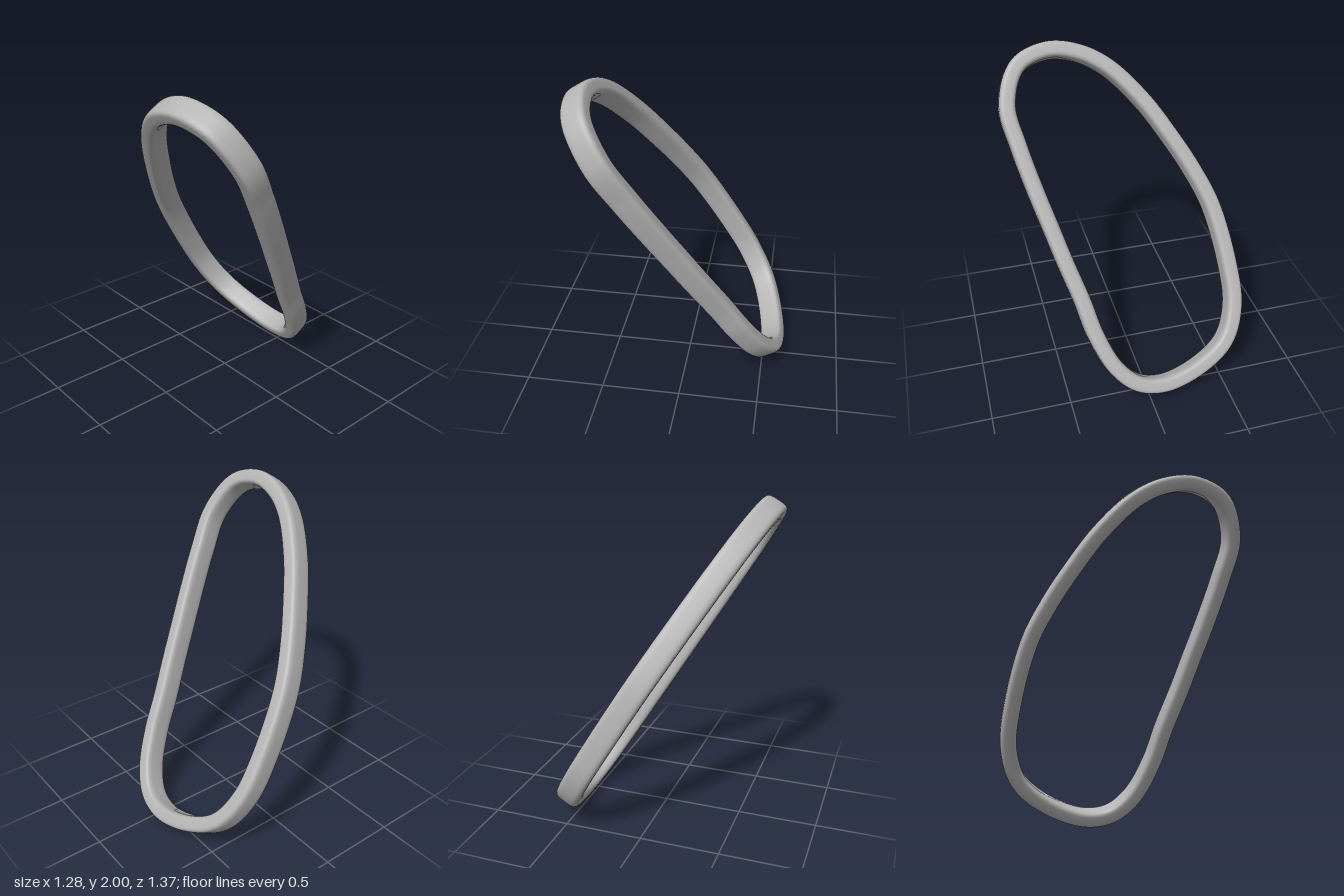
import * as THREE from 'three';

const SEGMENTS = 240, SIDES = 40;
const HALF_WIDTH = 0.051, HALF_DEPTH = 0.077; // in the ring's plane, and across it
const TILT = 0.6; // sideways lean of the ring's plane per unit of height

// Centre line of the ring as [z, y]
const PATH = [
  [0.35, 1.93], [0.54, 1.865], [0.635, 1.67], [0.6, 1.45], [0.535, 1.2],
  [0.475, 1.0], [0.425, 0.83], [0.35, 0.6], [0.295, 0.4], [0.2, 0.21],
  [0.07, 0.1], [-0.105, 0.07], [-0.36, 0.135], [-0.54, 0.25], [-0.625, 0.43],
  [-0.628, 0.65], [-0.565, 1.0], [-0.465, 1.22], [-0.35, 1.41],
  [-0.205, 1.615], [-0.01, 1.81], [0.16, 1.9],
];

// Signed power for the rounded-square cross-section
const soft = (v) => Math.sign(v) * Math.sqrt(Math.abs(v));

function ringGeometry() {
  const curve = new THREE.CatmullRomCurve3(
    PATH.map(([z, y]) => new THREE.Vector3(-TILT * (y - 1), y, z)), true, 'centripetal');
  const normal = new THREE.Vector3(1, TILT, 0).normalize();
  const positions = [], indices = [];
  for (let i = 0; i < SEGMENTS; i++) {
    const centre = curve.getPointAt(i / SEGMENTS);
    const tangent = curve.getTangentAt(i / SEGMENTS);
    const side = new THREE.Vector3().crossVectors(normal, tangent).normalize();
    for (let j = 0; j < SIDES; j++) {
      const a = (j / SIDES) * Math.PI * 2;
      const p = centre.clone()
        .addScaledVector(side, HALF_WIDTH * soft(Math.cos(a)))
        .addScaledVector(normal, HALF_DEPTH * soft(Math.sin(a)));
      positions.push(p.x, p.y, p.z);
      // Wrap both ways so the surface is seamless
      const i2 = (i + 1) % SEGMENTS, j2 = (j + 1) % SIDES;
      const p00 = i * SIDES + j, p01 = i * SIDES + j2;
      const p10 = i2 * SIDES + j, p11 = i2 * SIDES + j2;
      indices.push(p00, p01, p10, p01, p11, p10);
    }
  }
  const geometry = new THREE.BufferGeometry();
  geometry.setAttribute('position', new THREE.Float32BufferAttribute(positions, 3));
  geometry.setIndex(indices);
  geometry.computeVertexNormals();
  return geometry;
}

export function createModel() {
  const grey = new THREE.MeshStandardMaterial({ color: 0xb4b4b4 });
  grey.name = 'grey';
  const ring = new THREE.Mesh(ringGeometry(), grey);
  ring.name = 'ring';
  const model = new THREE.Group();
  model.name = 'bentRing';
  model.add(ring);
  return model;
}
